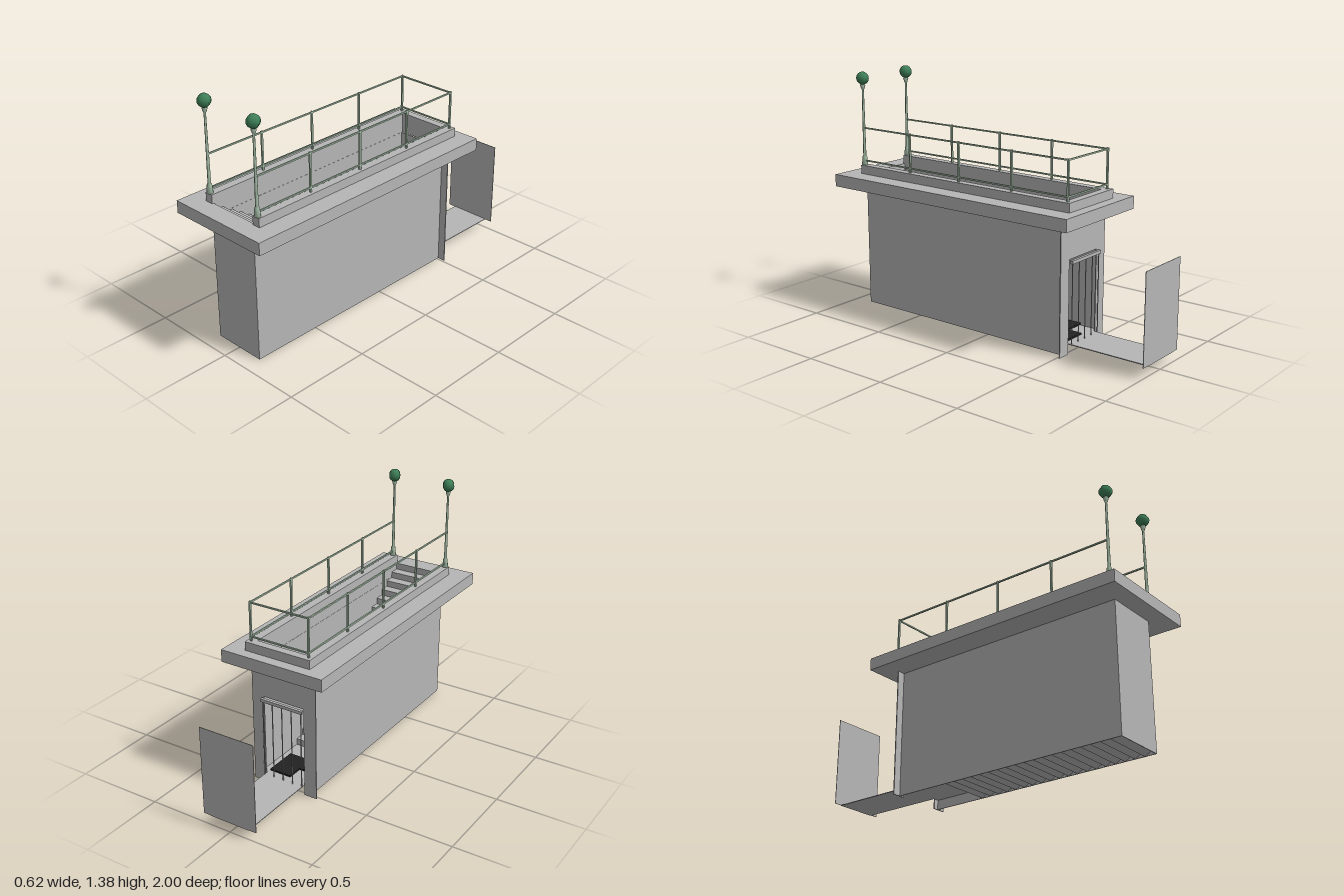
import * as THREE from 'three';

const mat = (name, color, side = THREE.FrontSide) => {
  const m = new THREE.MeshStandardMaterial({ color, side });
  m.name = name;
  return m;
};

export function createModel() {
  const root = new THREE.Group();
  root.name = 'stairEntrance';
  const concrete = mat('concrete', 0xb6b6b6, THREE.DoubleSide);
  const paleGreen = mat('paleGreenMetal', 0xa9c2ab);
  const globeGreen = mat('globeGreen', 0x3f8058);
  const black = mat('blackGrating', 0x222222);

  const add = (name, geo, material, x = 0, y = 0, z = 0) => {
    const m = new THREE.Mesh(geo, material);
    m.name = name;
    m.position.set(x, y, z);
    root.add(m);
    return m;
  };
  // box given by its limits on each axis
  const box = (name, material, x0, x1, y0, y1, z0, z1) =>
    add(name, new THREE.BoxGeometry(x1 - x0, y1 - y0, z1 - z0), material,
      (x0 + x1) / 2, (y0 + y1) / 2, (z0 + z1) / 2);
  const polygon = pts => new THREE.Shape(pts.map(p => new THREE.Vector2(p[0], p[1])));

  // pavement slab with the stairwell cut out
  const slab = polygon([[-0.31, -0.625], [0.31, -0.625], [0.31, 1], [-0.31, 1]]);
  slab.holes.push(polygon([[-0.153, -0.52], [-0.153, 0.89], [0.153, 0.89], [0.153, -0.52]]));
  const slabMesh = add('pavementSlab',
    new THREE.ExtrudeGeometry(slab, { depth: 0.07, bevelEnabled: false }), concrete, 0, 0.79, 0);
  slabMesh.rotation.x = Math.PI / 2;

  // U-shaped curb, open at the front
  const curb = polygon([[-0.2, 0.9], [-0.2, -0.565], [0.2, -0.565], [0.2, 0.9],
    [0.153, 0.9], [0.153, -0.52], [-0.153, -0.52], [-0.153, 0.9]]);
  const curbMesh = add('curb',
    new THREE.ExtrudeGeometry(curb, { depth: 0.05, bevelEnabled: false }), concrete, 0, 0.84, 0);
  curbMesh.rotation.x = Math.PI / 2;

  // shaft walls
  for (const s of [-1, 1]) {
    const x = s * 0.154;
    box('sideWall', concrete, x - 0.002, x + 0.002, 0, 0.72, -0.512, 0.9);
  }
  box('frontWall', concrete, -0.155, 0.155, 0, 0.72, 0.896, 0.9);

  // back wall with doorway
  const back = polygon([[-0.2, 0], [-0.125, 0], [-0.125, 0.52], [0.125, 0.52],
    [0.125, 0], [0.2, 0], [0.2, 0.72], [-0.2, 0.72]]);
  add('backWall', new THREE.ExtrudeGeometry(back, { depth: 0.006, bevelEnabled: false }),
    concrete, 0, 0, -0.517);

  // staircase: stepped top and notched underside, extruded across the shaft
  const steps = 19, z0 = -0.19, run = 1.08 / steps, rise = 0.0365, base = 0.058;
  const profile = [[z0, base]];
  for (let i = 0; i < steps; i++) {
    profile.push([z0 + i * run, base + (i + 1) * rise], [z0 + (i + 1) * run, base + (i + 1) * rise]);
  }
  for (let i = steps; i > 0; i--) {
    profile.push([z0 + i * run, 0.03], [z0 + (i - 1) * run, 0]);
  }
  const stairGeo = new THREE.ExtrudeGeometry(polygon(profile), { depth: 0.302, bevelEnabled: false });
  add('stairs', stairGeo, concrete, 0.151, 0, 0).rotation.y = -Math.PI / 2;

  // landing, passage floor and end wall
  box('landing', concrete, -0.152, 0.152, 0.054, 0.058, -0.512, z0);
  box('passageFloor', concrete, -0.12, 0.12, 0.054, 0.058, -1, -0.512);
  box('passageEndWall', concrete, -0.165, 0.165, 0.056, 0.56, -1, -0.997);

  // dark floor grating in two pieces
  box('floorGrating', black, -0.145, -0.02, 0.065, 0.074, -0.41, -0.31);
  box('floorGrating', black, -0.02, 0.11, 0.065, 0.074, -0.5, -0.31);

  // doorway gate
  box('gateTopRail', concrete, -0.13, 0.13, 0.5, 0.518, -0.543, -0.527);
  for (let i = -2; i <= 2; i++) {
    add('gateBar', new THREE.CylinderGeometry(0.003, 0.003, 0.45, 6), concrete, i * 0.06, 0.28, -0.535);
  }

  // lamp posts
  const post = new THREE.LatheGeometry([
    [0, 0.84], [0.018, 0.84], [0.013, 0.89], [0.009, 0.892], [0.006, 1.275],
    [0.009, 1.28], [0.015, 1.3], [0.012, 1.31], [0, 1.31],
  ].map(p => new THREE.Vector2(p[0], p[1])), 8);
  const globe = new THREE.SphereGeometry(0.037, 6, 8);
  const rail = 0.004;
  for (const s of [-1, 1]) {
    const x = s * 0.178;
    add('lampPost', post, paleGreen, x, 0, 0.89);
    add('lampGlobe', globe, globeGreen, x, 1.34, 0.89);

    // side railings
    for (const y of [0.865, 1.055]) {
      box('sideRail', paleGreen, x - rail, x + rail, y - rail, y + rail, -0.544, 0.89);
    }
    for (const z of [0.535, 0.18, -0.18, -0.54]) {
      box('railingUpright', paleGreen, x - 0.005, x + 0.005, 0.84, 1.062, z - 0.005, z + 0.005);
    }
  }
  // back railing
  for (const y of [0.865, 1.055]) {
    box('backRail', paleGreen, -0.178, 0.178, y - rail, y + rail, -0.544, -0.536);
  }
  return root;
}
